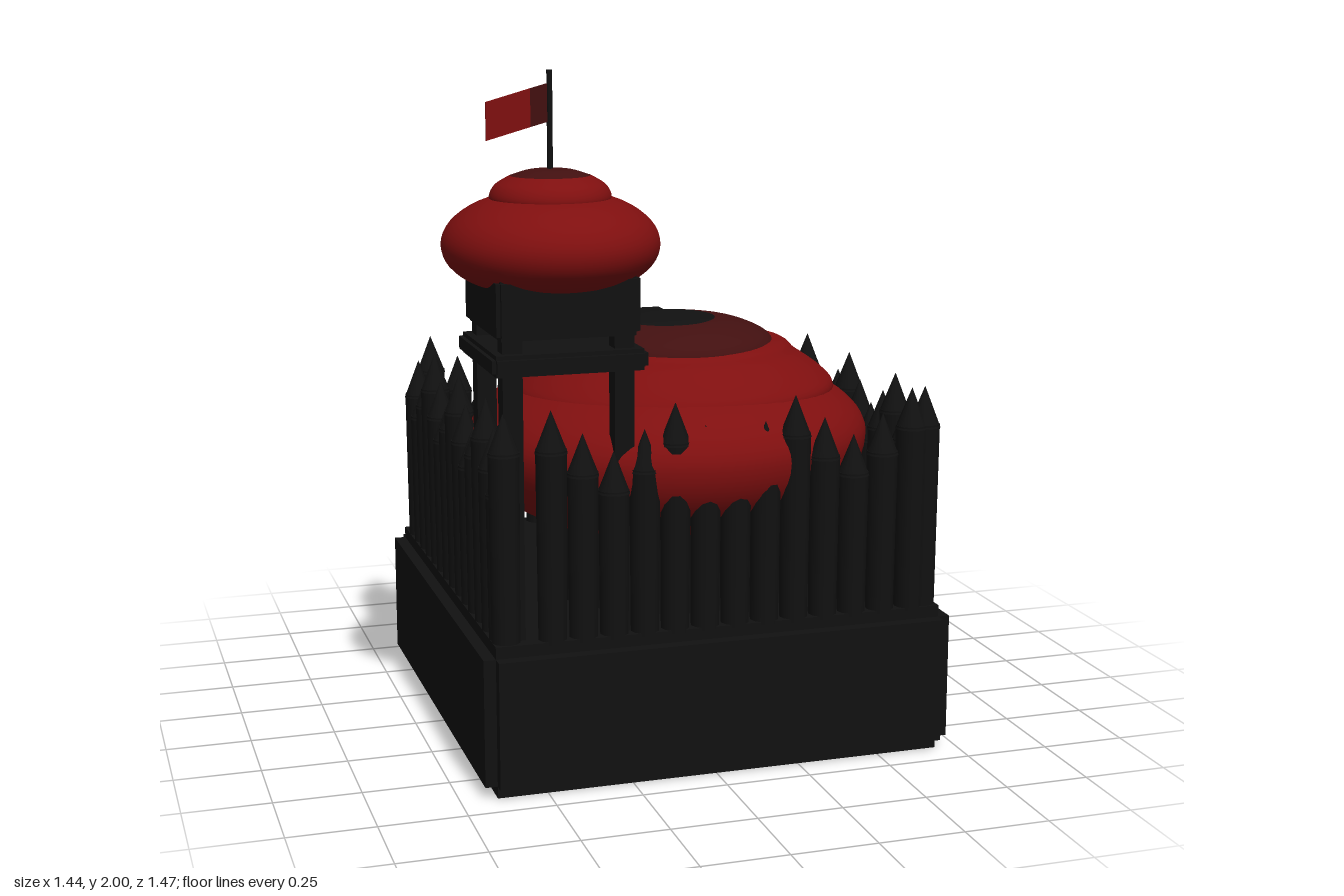
import * as THREE from 'three';

const black = new THREE.MeshStandardMaterial({ name: 'charred timber', color: 0x111111 });
const red = new THREE.MeshStandardMaterial({ name: 'crimson', color: 0x7f0f0f });
const darkRed = new THREE.MeshStandardMaterial({ name: 'dark crimson', color: 0x421010 });

export function createModel() {
  const root = new THREE.Group();
  root.name = 'fort';

  const group = (name) => {
    const g = new THREE.Group();
    g.name = name;
    root.add(g);
    return g;
  };
  const add = (name, geometry, material, x, y, z, parent = root) => {
    const m = new THREE.Mesh(geometry, material);
    m.name = name;
    m.position.set(x, y, z);
    parent.add(m);
    return m;
  };
  const box = (name, w, h, d, x, y, z, parent) =>
    add(name, new THREE.BoxGeometry(w, h, d), black, x, y, z, parent);

  // Box with stepped edges: three boxes, each full size along two axes
  const steppedBox = (name, w, h, d, s, x, y, z, parent) => {
    box(name, w, h - 2 * s, d - 2 * s, x, y, z, parent);
    box(name, w - 2 * s, h - 2 * s, d, x, y, z, parent);
    box(name, w - 2 * s, h, d - 2 * s, x, y, z, parent);
  };

  // Smooth turned shape through a few profile points [radius, height], bottom to top
  const turned = (points) => {
    const curve = new THREE.SplineCurve(points.map(([r, y]) => new THREE.Vector2(r, y)));
    const pts = curve.getPoints(28).map((p) => new THREE.Vector2(Math.max(p.x, 0), p.y));
    return new THREE.LatheGeometry(pts, 56);
  };

  // Base block
  const base = group('base');
  steppedBox('baseBlock', 1.4, 0.44, 1.4, 0.035, 0.02, 0.22, -0.01, base);

  // Palisade of pointed stakes
  const fence = group('palisade');
  const step = 0.0895;
  const tips = [1.09, 1.02, 0.965, 1.02];
  const stake = (x, z, k) => {
    const tip = tips[((k % 4) + 4) % 4];
    const shaft = tip - 0.11 - 0.43;
    add('stake', new THREE.CylinderGeometry(0.045, 0.041, shaft, 12), black, x, 0.43 + shaft / 2, z, fence);
    add('stakeTip', new THREE.ConeGeometry(0.047, 0.12, 12), black, x, tip - 0.06, z, fence);
  };
  for (let k = 0; k < 14; k++) {
    const z = 0.578 - k * step;
    stake(0.645, z, k + 2);
    stake(-0.605, z, k + 2);
    if (k < 13) stake(0.6 - k * step, 0.62, k);
    const x = -0.555 + k * step;
    if (x < -0.19 || x > 0.23) stake(x, -0.632, k);
  }
  stake(-0.605, 0.61, 0);
  stake(0.645, 0.61, 0);

  // Gate in the back wall
  const gate = group('gate');
  for (const x of [-0.145, 0.185]) box('gatePost', 0.06, 0.68, 0.06, x, 0.77, -0.632, gate);
  steppedBox('gateBeam', 0.46, 0.055, 0.09, 0.01, 0.02, 1.117, -0.632, gate);

  // Hut with a layered domed roof
  const hut = group('hut');
  add('hutWall', new THREE.CylinderGeometry(0.38, 0.38, 0.35, 40), black, 0.01, 0.6, 0.14, hut);
  const lower = new THREE.SphereGeometry(1, 56, 32);
  const lp = lower.attributes.position;
  for (let i = 0; i < lp.count; i++) {
    const y = lp.getY(i);
    lp.setXYZ(i, lp.getX(i) * 0.61, y * (y > 0 ? 0.24 : 0.31), lp.getZ(i) * 0.55);
  }
  lower.computeVertexNormals();
  add('lowerRoof', lower, red, 0.01, 0.9, 0.14, hut);
  const middle = add('middleRoof',
    turned([[0.42, 0.98], [0.44, 1.04], [0.41, 1.085], [0.34, 1.14], [0.27, 1.185], [0, 1.2]]),
    red, 0.03, 0, 0.135, hut);
  middle.scale.set(1.12, 1, 0.97);
  const cap = add('roofCap',
    turned([[0.28, 1.14], [0.285, 1.175], [0.25, 1.212], [0.15, 1.247], [0, 1.252]]),
    darkRed, 0.03, 0, 0.145, hut);
  cap.scale.set(1.06, 1, 1);
  add('smokeHole', turned([[0.15, 1.225], [0.148, 1.247], [0.08, 1.258], [0, 1.26]]),
    black, 0.015, 0, 0.145, hut);

  // Corner watchtower
  const tower = group('watchtower');
  const tx = -0.42, tz = 0.43;
  for (const sx of [-1, 1]) for (const sz of [-1, 1])
    box('towerLeg', 0.056, 0.88, 0.056, tx + sx * 0.158, 0.86, tz + sz * 0.158, tower);
  steppedBox('platform', 0.44, 0.06, 0.44, 0.012, tx, 1.22, tz, tower);
  steppedBox('cabin', 0.405, 0.17, 0.405, 0.012, tx, 1.37, tz, tower);
  add('towerRoof',
    turned([[0, 1.39], [0.18, 1.405], [0.275, 1.455], [0.305, 1.525], [0.27, 1.595], [0.17, 1.65], [0, 1.67]]),
    red, tx, 0, tz, tower);
  add('towerRoofTop',
    turned([[0.15, 1.62], [0.17, 1.65], [0.155, 1.685], [0.112, 1.712]]),
    red, tx, 0, tz, tower);
  add('towerRoofCap', turned([[0.113, 1.711], [0.06, 1.727], [0, 1.73]]), darkRed, tx, 0, tz, tower);
  const porthole = add('porthole', new THREE.SphereGeometry(0.062, 24, 12), darkRed, -0.155, 1.51, 0.285, tower);
  porthole.scale.set(0.45, 0.9, 1);

  // Flags: slanted panel with a dark strip beside the pole, extending towards -x
  const panel = (x0, x1, y0, y1, h) => {
    const s = new THREE.Shape();
    s.moveTo(x0, y0);
    s.lineTo(x1, y1);
    s.lineTo(x1, y1 + h);
    s.lineTo(x0, y0 + h);
    return new THREE.ExtrudeGeometry(s, { depth: 0.006, bevelEnabled: false });
  };
  const flag = group('towerFlag');
  add('flagPole', new THREE.CylinderGeometry(0.008, 0.008, 0.29, 10), black, tx, 1.855, tz, flag);
  add('flagCloth', panel(-0.6, -0.475, 1.81, 1.845, 0.105), red, 0, 0, tz - 0.003, flag);
  add('flagHem', panel(-0.475, -0.42, 1.845, 1.86, 0.105), darkRed, 0, 0, tz - 0.003, flag);

  const banner = group('gateBanner');
  add('bannerPole', new THREE.CylinderGeometry(0.013, 0.013, 0.63, 10), black, 0.52, 0.75, -0.725, banner);
  add('bannerCloth', panel(0.37, 0.49, 0.75, 0.74, 0.27), red, 0, 0, -0.728, banner);
  add('bannerHem', panel(0.49, 0.52, 0.74, 0.74, 0.27), darkRed, 0, 0, -0.728, banner);

  return root;
}
